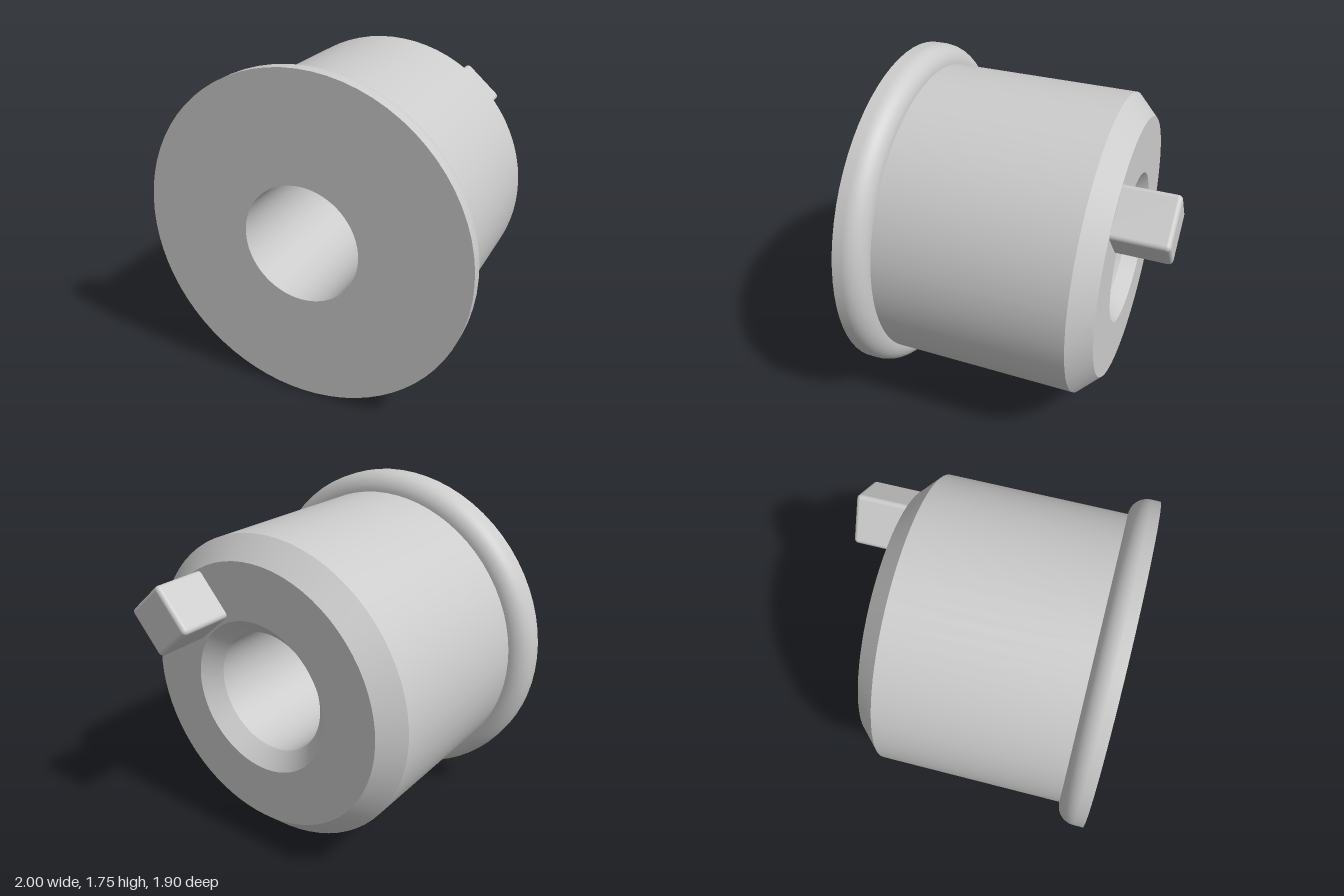
import * as THREE from 'three';
import { RoundedBoxGeometry } from 'three/addons/geometries/RoundedBoxGeometry.js';

const material = new THREE.MeshStandardMaterial({ color: 0xcccccc });

// Surface of revolution around the bushing's axis; points are [radius, depth behind the front face].
function ring(name, points) {
  const profile = points.map(([r, d]) => new THREE.Vector2(r, d));
  const geometry = new THREE.LatheGeometry(profile, 72);
  geometry.rotateX(-Math.PI / 2);
  const mesh = new THREE.Mesh(geometry, material);
  mesh.name = name;
  return mesh;
}

export function createModel() {
  const model = new THREE.Group();
  model.name = 'keyedBushing';

  const flangeR = 0.877, bodyR = 0.78, boreR = 0.31;
  const length = 1.21, chamfer = 0.105, boreChamfer = 0.08;
  const rimFlat = 0.05, fillet = flangeR - bodyR;

  // Quarter-round back edge of the flange
  const rounded = [];
  for (let i = 0; i <= 10; i++) {
    const t = (i / 10) * Math.PI / 2;
    rounded.push([bodyR + fillet * Math.cos(t), rimFlat + fillet * Math.sin(t)]);
  }

  // Separate rings keep the edges between them sharp
  model.add(
    ring('flangeFace', [[boreR, 0], [flangeR, 0]]),
    ring('flangeRim', [[flangeR, 0], ...rounded]),
    ring('body', [[bodyR, rimFlat + fillet], [bodyR, length - chamfer]]),
    ring('bodyChamfer', [[bodyR, length - chamfer], [bodyR - chamfer, length]]),
    ring('backFace', [[bodyR - chamfer, length], [boreR + boreChamfer, length]]),
    ring('boreChamfer', [[boreR + boreChamfer, length], [boreR, length - boreChamfer]]),
    ring('bore', [[boreR, length - boreChamfer], [boreR, 0]])
  );

  // Drive key standing on the back face, turned to point along the radius
  const keyStart = 1.12, keyEnd = 1.475;
  const key = new THREE.Mesh(
    new RoundedBoxGeometry(0.26, 0.26, keyEnd - keyStart, 4, 0.022), material);
  key.name = 'driveKey';
  key.position.set(0.352, 0.396, -(keyStart + keyEnd) / 2);
  key.rotation.z = THREE.MathUtils.degToRad(49);
  model.add(key);

  // The axis lies level and is turned in plan
  model.rotation.y = -0.639;
  model.position.set(-0.297, flangeR, 0.42);

  const group = new THREE.Group();
  group.add(model);
  return group;
}
